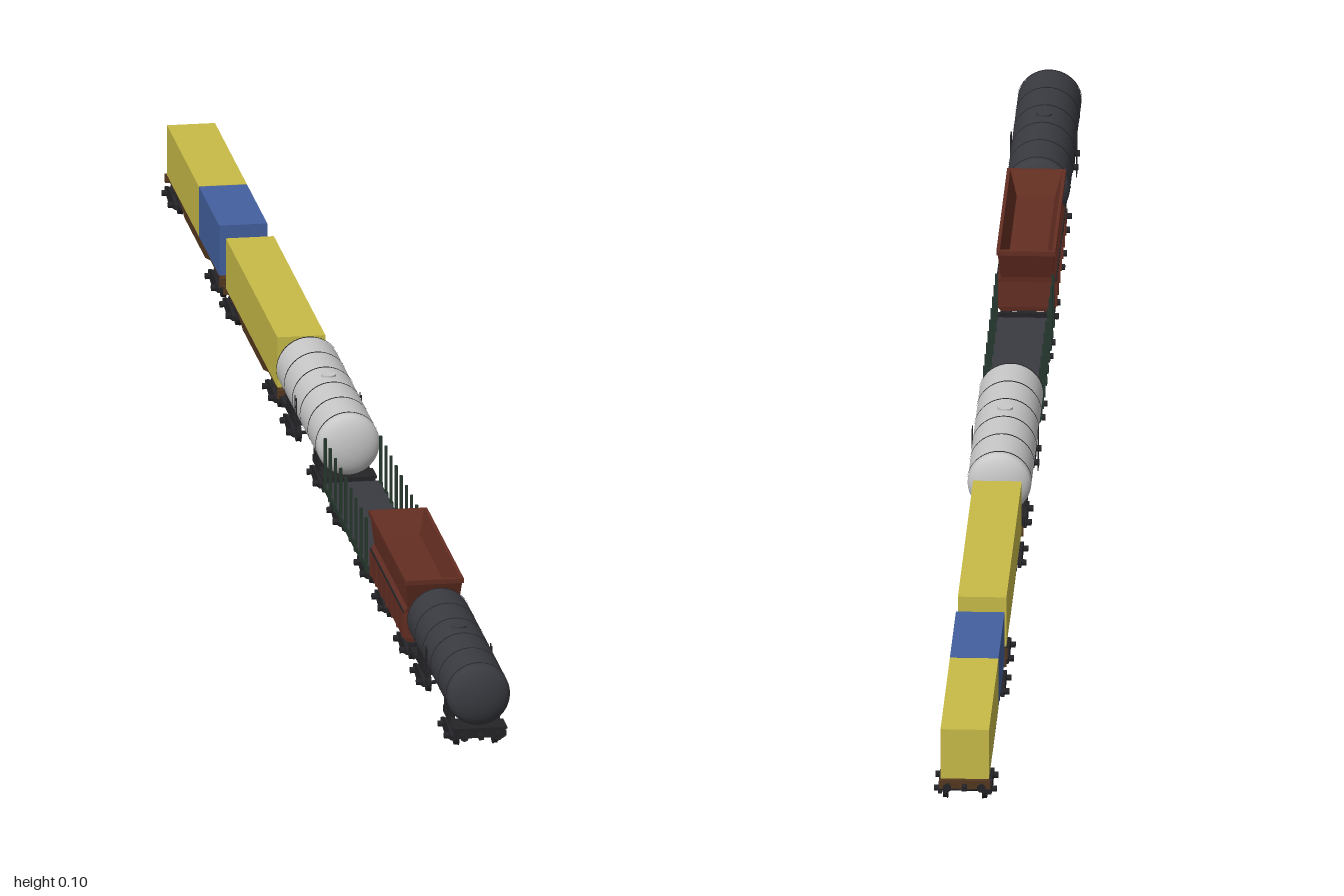
import * as THREE from 'three';

const mat = (name, color, side = THREE.FrontSide) => {
  const m = new THREE.MeshStandardMaterial({ color, side });
  m.name = name;
  return m;
};

export function createModel() {
  const M = {
    black: mat('undercarriage black', 0x242428),
    dark: mat('dark grey', 0x3a3b41),
    light: mat('light grey', 0xc8c8c8),
    rust: mat('rust red', 0x642e22),
    green: mat('dark green', 0x26382e),
    brown: mat('frame brown', 0x54381f),
    yellow: mat('container yellow', 0xc8bb48),
    blue: mat('container blue', 0x43609f),
  };
  const train = new THREE.Group();
  train.name = 'freightTrain';

  const add = (parent, name, geo, material, x = 0, y = 0, z = 0) => {
    const mesh = new THREE.Mesh(geo, material);
    mesh.name = name;
    mesh.position.set(x, y, z);
    parent.add(mesh);
    return mesh;
  };
  const box = (parent, name, material, w, h, d, x, y, z) =>
    add(parent, name, new THREE.BoxGeometry(w, h, d), material, x, y, z);
  const group = (name, z, parent = train) => {
    const g = new THREE.Group();
    g.name = name;
    g.position.z = z;
    parent.add(g);
    return g;
  };
  const rodX = (r, len, n = 16) => new THREE.CylinderGeometry(r, r, len, n).rotateZ(Math.PI / 2);
  const rodZ = (r, len, n = 10) => new THREE.CylinderGeometry(r, r, len, n).rotateX(Math.PI / 2);
  // Plate drawn in the z-y plane, given thickness across x
  const sidePlate = (pts, t) => new THREE.ExtrudeGeometry(
    new THREE.Shape(pts.map(p => new THREE.Vector2(...p))), { depth: t, bevelEnabled: false })
    .translate(0, 0, -t / 2).rotateY(-Math.PI / 2);

  // Two-axle bogie
  const wheelGeo = rodX(0.009, 0.004, 20), flangeGeo = rodX(0.0098, 0.001, 20);
  const axleGeo = rodX(0.002, 0.056, 8), boxGeo = rodX(0.0035, 0.006, 8);
  const bogieSide = sidePlate([[-0.034, 0.009], [-0.022, 0.007], [-0.01, 0.004], [0.01, 0.004],
    [0.022, 0.007], [0.034, 0.009], [0.034, 0.014], [0.012, 0.019], [-0.012, 0.019], [-0.034, 0.014]], 0.004);
  const bogie = (parent, z) => {
    const g = group('bogie', z, parent);
    for (const az of [-0.021, 0.021]) {
      add(g, 'axle', axleGeo, M.black, 0, 0.0098, az);
      for (const s of [-1, 1]) {
        add(g, 'wheel', wheelGeo, M.black, s * 0.021, 0.0098, az);
        add(g, 'wheelFlange', flangeGeo, M.black, s * 0.0185, 0.0098, az);
        add(g, 'axleBox', boxGeo, M.black, s * 0.03, 0.0108, az);
      }
    }
    for (const s of [-1, 1]) add(g, 'bogieSideFrame', bogieSide, M.black, s * 0.026, 0, 0);
    box(g, 'bolster', M.black, 0.052, 0.007, 0.014, 0, 0.0165, 0);
    box(g, 'pivot', M.black, 0.014, 0.008, 0.014, 0, 0.022, 0);
  };

  // End beam, buffers and coupling at both ends of a wagon
  const wagonEnds = (g, half, material) => {
    for (const s of [-1, 1]) {
      box(g, 'endBeam', material, 0.054, 0.009, 0.005, 0, 0.0215, s * (half - 0.0125));
      box(g, 'coupling', M.black, 0.005, 0.005, 0.014, 0, 0.02, s * (half - 0.007));
      for (const x of [-0.018, 0.018]) {
        add(g, 'bufferStem', rodZ(0.0022, 0.01), M.black, x, 0.021, s * (half - 0.006));
        add(g, 'bufferHead', rodZ(0.0045, 0.0016, 14), M.black, x, 0.021, s * (half - 0.0008));
      }
    }
  };
  const wagon = (name, front, back, bogies, frameMat) => {
    const mid = (front + back) / 2;
    const g = group(name, mid);
    wagonEnds(g, (front - back) / 2, frameMat);
    bogies.forEach(z => bogie(g, z - mid));
    return g;
  };

  // Tank wagon with domed ends, hoops and end frames
  const tankWagon = (name, front, back, bogies, tankMat) => {
    const g = wagon(name, front, back, bogies, M.black);
    const half = (front - back) / 2 - 0.006, R = 0.0335, dome = 0.015, cy = 0.0615;
    const profile = [];
    for (let i = 0; i <= 8; i++) {
      const a = i / 8 * Math.PI / 2;
      profile.push(new THREE.Vector2(R * Math.sin(a), -half + dome * (1 - Math.cos(a))));
    }
    for (let i = 8; i >= 0; i--) profile.push(new THREE.Vector2(profile[i].x, -profile[i].y));
    add(g, 'tank', new THREE.LatheGeometry(profile, 40).rotateX(Math.PI / 2), tankMat, 0, cy, 0);
    const span = half - dome - 0.002;
    for (let i = 0; i <= 5; i++) {
      const hoop = new THREE.CylinderGeometry(R + 0.0008, R + 0.0008, 0.0028, 40, 1, true).rotateX(Math.PI / 2);
      add(g, 'hoop', hoop, M.black, 0, cy, -span + i * span * 0.4);
    }
    add(g, 'manhole', new THREE.CylinderGeometry(0.008, 0.008, 0.003, 16), tankMat, 0, cy + R, 0);
    for (const s of [-1, 1]) {
      box(g, 'endPlatform', M.black, 0.058, 0.002, 0.03, 0, 0.027, s * (half - 0.018));
      box(g, 'endSill', M.black, 0.018, 0.008, 0.09, 0, 0.023, s * (half - 0.05));
      for (const x of [-0.024, 0.024]) {
        box(g, 'sideSill', M.black, 0.004, 0.007, 0.085, x, 0.0245, s * (half - 0.048));
        box(g, 'saddle', M.black, 0.007, 0.018, 0.03, x, 0.033, s * (half - 0.06));
      }
    }
    // Side ladders with rungs
    for (const x of [-0.0345, 0.0345]) {
      for (const z of [-0.005, 0.005]) box(g, 'ladderRail', M.black, 0.0012, 0.046, 0.0012, x, 0.05, z);
      for (let i = 0; i < 6; i++) box(g, 'ladderRung', M.black, 0.001, 0.001, 0.01, x, 0.03 + i * 0.008, 0);
    }
  };

  // Surface through stacked rectangles [halfWidth, halfLength, y], closed at both ends
  const loftRects = loops => {
    const v = [], signs = [[1, 1], [1, -1], [-1, -1], [-1, 1]];
    const c = loops.map(([x, z, y]) => signs.map(([a, b]) => [a * x, y, b * z]));
    const quad = (p, q, r, s) => v.push(...p, ...q, ...r, ...p, ...r, ...s);
    for (let k = 0; k + 1 < c.length; k++)
      for (let i = 0; i < 4; i++) {
        const j = (i + 1) % 4;
        quad(c[k][i], c[k][j], c[k + 1][j], c[k + 1][i]);
      }
    const e = c[c.length - 1];
    quad(c[0][3], c[0][2], c[0][1], c[0][0]);
    quad(e[0], e[1], e[2], e[3]);
    const geo = new THREE.BufferGeometry();
    geo.setAttribute('position', new THREE.Float32BufferAttribute(v, 3));
    geo.computeVertexNormals();
    return geo;
  };

  tankWagon('darkTankWagon', 1, 0.69, [0.935, 0.745], M.dark);

  // Open hopper with flared upper walls
  const hopper = wagon('hopperWagon', 0.69, 0.418, [0.632, 0.483], M.black);
  add(hopper, 'hopperBody', loftRects([[0.026, 0.112, 0.023], [0.031, 0.113, 0.028], [0.031, 0.113, 0.056],
    [0.027, 0.114, 0.062], [0.0295, 0.124, 0.09], [0.031, 0.126, 0.09], [0.031, 0.126, 0.095],
    [0.0275, 0.121, 0.095], [0.02, 0.105, 0.072]]), M.rust);
  for (const s of [-1, 1]) {
    box(hopper, 'ledge', M.black, 0.0012, 0.002, 0.226, s * 0.0311, 0.057, 0);
    for (let i = 0; i < 7; i++)
      box(hopper, 'sideRib', M.rust, 0.0015, 0.028, 0.004, s * 0.0315, 0.042, -0.108 + i * 0.036);
  }
  box(hopper, 'centreSill', M.black, 0.02, 0.008, 0.25, 0, 0.02, 0);

  // Flat wagon with stakes
  const flat = wagon('stakeWagon', 0.42, 0.105, [0.362, 0.176], M.black);
  box(flat, 'deck', M.dark, 0.058, 0.003, 0.294, 0, 0.0265, 0);
  box(flat, 'centreSill', M.black, 0.018, 0.009, 0.29, 0, 0.0205, 0);
  for (const s of [-1, 1]) {
    box(flat, 'sideSill', M.green, 0.003, 0.007, 0.294, s * 0.0285, 0.0235, 0);
    for (let i = 0; i < 9; i++) {
      const z = -0.14 + i * 0.035;
      box(flat, 'stake', M.green, 0.003, 0.056, 0.003, s * 0.0295, 0.051, z);
      box(flat, 'stakePocket', M.green, 0.004, 0.008, 0.006, s * 0.0295, 0.0245, z);
    }
  }

  tankWagon('lightTankWagon', 0.11, -0.203, [0.04, -0.142], M.light);

  // Container wagons with fish-belly frames; loads are [front z, back z, material]
  const containerWagon = (name, front, back, bogies, loads) => {
    const g = wagon(name, front, back, bogies, M.brown);
    const mid = (front + back) / 2, h = (front - back) / 2 - 0.012;
    const belly = sidePlate([[-h, 0.021], [-h + 0.08, 0.021], [-h + 0.115, 0.013], [h - 0.115, 0.013],
      [h - 0.08, 0.021], [h, 0.021], [h, 0.026], [-h, 0.026]], 0.004);
    for (const s of [-1, 1]) add(g, 'fishBellySill', belly, M.brown, s * 0.022, 0, 0);
    box(g, 'frameFloor', M.brown, 0.044, 0.003, 2 * h, 0, 0.0243, 0);
    box(g, 'centreSill', M.brown, 0.012, 0.008, 2 * h, 0, 0.0195, 0);
    for (let i = -3; i <= 3; i++) box(g, 'crossMember', M.brown, 0.042, 0.006, 0.004, 0, 0.021, i * 0.025);
    for (const [a, b, m] of loads)
      box(g, 'container', m, 0.051, 0.055, a - b, 0, 0.0535, (a + b) / 2 - mid);
  };
  containerWagon('longContainerWagon', -0.208, -0.603, [-0.264, -0.555], [[-0.23, -0.582, M.yellow]]);
  containerWagon('mixedContainerWagon', -0.605, -1, [-0.655, -0.95],
    [[-0.627, -0.766, M.blue], [-0.767, -0.984, M.yellow]]);

  return train;
}
